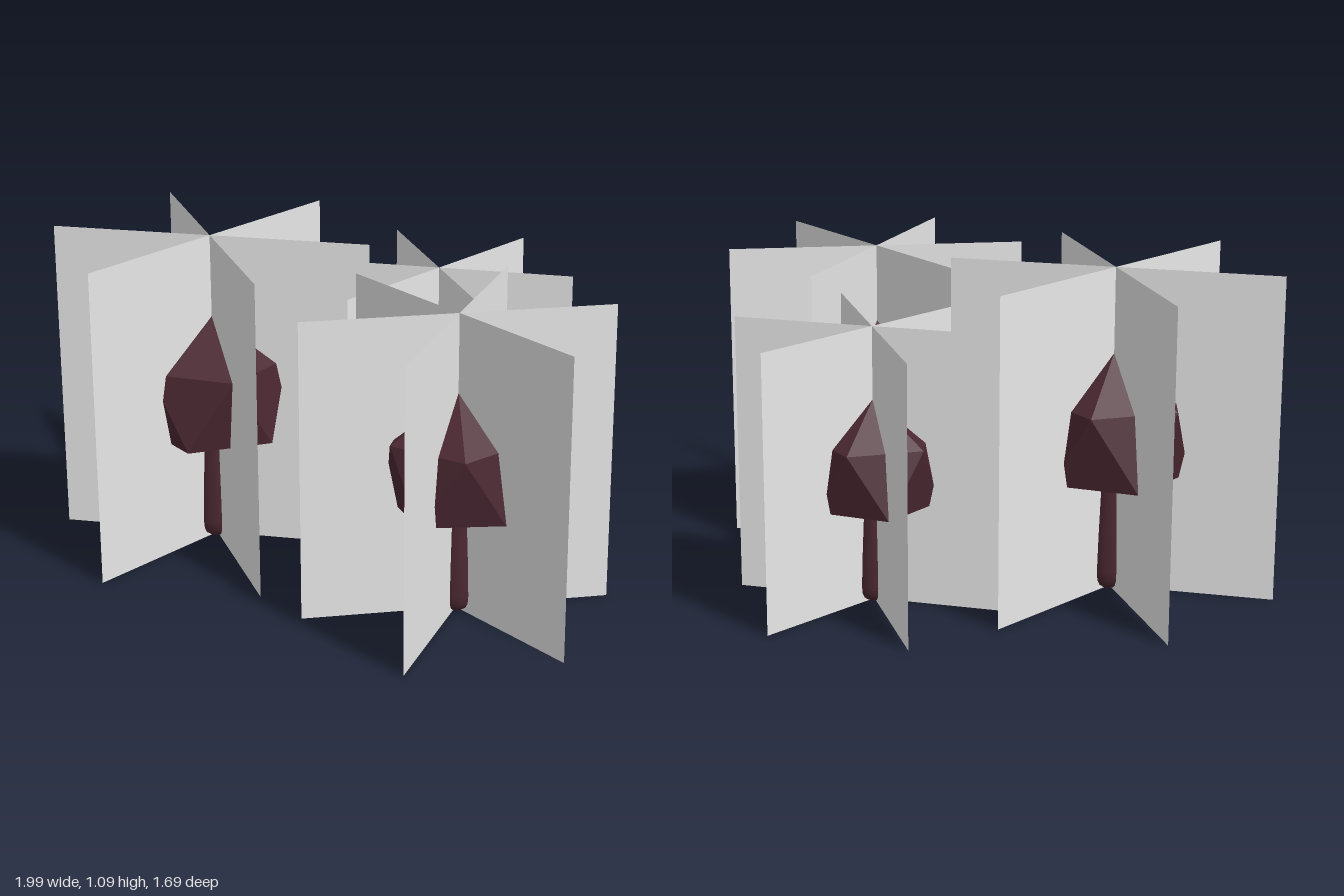
import * as THREE from 'three';

const foliage = new THREE.MeshStandardMaterial({ color: 0xe7e7e7, side: THREE.DoubleSide });
foliage.name = 'pale grey';
const flesh = new THREE.MeshStandardMaterial({ color: 0x4a2731 });
flesh.name = 'dark maroon';

// Faceted cap: the upper fifteen faces of an icosahedron, open underneath
function capGeometry(radius) {
  const ringY = radius / Math.sqrt(5), ringR = 2 * ringY;
  const ring = (step, y) => {
    const a = Math.PI / 5 + step * Math.PI * 2 / 5;
    return [ringR * Math.cos(a), y, ringR * Math.sin(a)];
  };
  const upper = (i) => ring(i, ringY);
  const lower = (i) => ring(i + 0.5, -ringY);
  const points = [];
  for (let i = 0; i < 5; i++) {
    points.push(0, radius, 0, ...upper(i + 1), ...upper(i));
    points.push(...upper(i), ...upper(i + 1), ...lower(i));
    points.push(...upper(i + 1), ...lower(i + 1), ...lower(i));
  }
  const geometry = new THREE.BufferGeometry();
  geometry.setAttribute('position', new THREE.Float32BufferAttribute(points, 3));
  geometry.computeVertexNormals();
  return geometry;
}

// Tapered stem with a rounded foot
function stemGeometry() {
  const profile = [[0, 0.002], [0.06, 0.006], [0.095, 0.03], [0.115, 0.065], [0.121, 0.12],
    [0.112, 0.35], [0.09, 0.73], [0.08, 1.0]];
  return new THREE.LatheGeometry(profile.map(([r, y]) => new THREE.Vector2(r, y)), 16);
}

export function createModel() {
  const model = new THREE.Group();
  model.name = 'mushroomCluster';

  const cap = capGeometry(0.514);
  const stem = stemGeometry();
  const panel = new THREE.PlaneGeometry(2, 2);

  // x, z, scale, turn in degrees
  const spots = [
    [-0.492, 0.303, 0.545, -201],
    [0.482, 0.05, 0.51, 0],
    [-0.118, -0.392, 0.4625, -202],
  ];

  for (const [x, z, scale, turn] of spots) {
    const mushroom = new THREE.Group();
    mushroom.name = 'mushroom';

    const capMesh = new THREE.Mesh(cap, flesh);
    capMesh.name = 'cap';
    capMesh.position.y = 0.96;

    const stemMesh = new THREE.Mesh(stem, flesh);
    stemMesh.name = 'stem';
    mushroom.add(capMesh, stemMesh);

    // Three upright panels crossing on the stem axis
    for (let i = 0; i < 3; i++) {
      const panelMesh = new THREE.Mesh(panel, foliage);
      panelMesh.name = 'crossedPanel';
      panelMesh.position.y = 1;
      panelMesh.rotation.y = i * Math.PI / 3;
      mushroom.add(panelMesh);
    }

    mushroom.position.set(x, 0, z);
    mushroom.scale.setScalar(scale);
    mushroom.rotation.y = THREE.MathUtils.degToRad(turn);
    model.add(mushroom);
  }
  return model;
}
